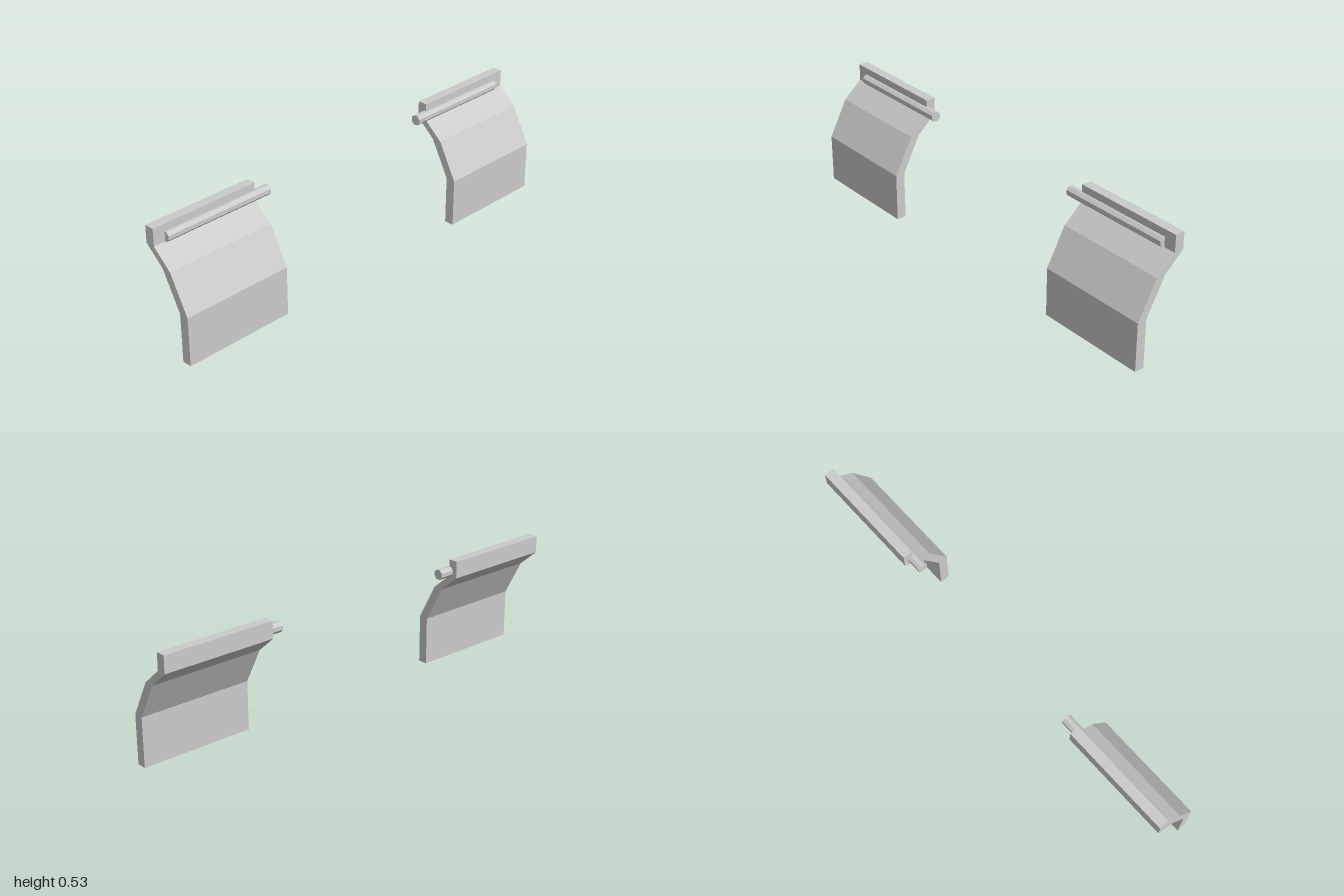
import * as THREE from 'three';

const INNER = 0.497, OUTER = 1;            // panel extent in x
const ROD_INNER = 0.431, ROD_OUTER = 0.946; // rod extent in x
const THICKNESS = 0.043;

// Front edge of the bent panel as [z, y], bottom to top
const FRONT_EDGE = [[0.108, 0], [0.108, 0.215], [0.022, 0.377], [-0.064, 0.452], [-0.064, 0.527]];

function panelGeometry() {
  const backEdge = FRONT_EDGE.map(([z, y]) => [z - THICKNESS, y]).reverse();
  const shape = new THREE.Shape([...FRONT_EDGE, ...backEdge].map(([z, y]) => new THREE.Vector2(z, y)));
  const width = OUTER - INNER;
  const geometry = new THREE.ExtrudeGeometry(shape, { depth: width, bevelEnabled: false });
  // Turn the profile so that it is swept along x
  return geometry.rotateY(-Math.PI / 2).translate(width / 2, 0, 0);
}

function rodGeometry() {
  const radius = 0.0215 / Math.cos(Math.PI / 8);
  return new THREE.CylinderGeometry(radius, radius, ROD_OUTER - ROD_INNER, 8, 1, false, Math.PI / 8)
    .rotateZ(Math.PI / 2);
}

export function createModel() {
  const model = new THREE.Group();
  model.name = 'hingedFlaps';
  const material = new THREE.MeshStandardMaterial({ color: 0xcccccc, flatShading: true });
  const panelShape = panelGeometry();
  const rodShape = rodGeometry();

  for (const [side, sign] of [['left', 1], ['right', -1]]) {
    const flap = new THREE.Group();
    flap.name = side + 'Flap';

    // Bent sheet with an upright strip on top
    const panel = new THREE.Mesh(panelShape, material);
    panel.name = side + 'Panel';
    panel.position.x = sign * (INNER + OUTER) / 2;

    // Eight-sided hinge rod, half sunk into the strip and sticking out inward
    const rod = new THREE.Mesh(rodShape, material);
    rod.name = side + 'HingeRod';
    rod.position.set(sign * (ROD_INNER + ROD_OUTER) / 2, 0.4735, -0.0645);

    flap.add(panel, rod);
    model.add(flap);
  }
  return model;
}
